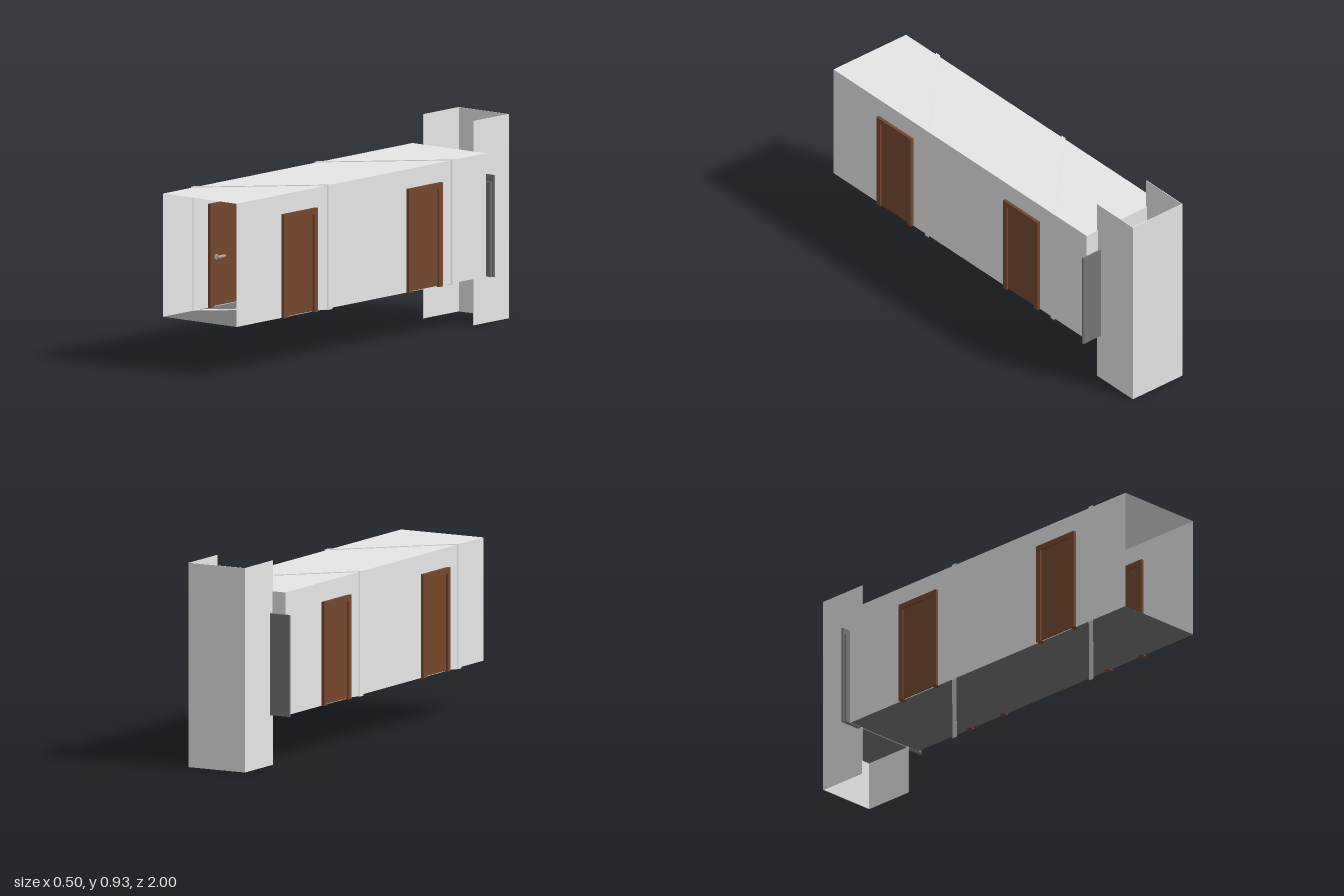
import * as THREE from 'three';
import { mergeGeometries } from 'three/addons/utils/BufferGeometryUtils.js';

const mat = (name, color, side = THREE.FrontSide) => {
  const m = new THREE.MeshStandardMaterial({ color, side });
  m.name = name;
  return m;
};

export function createModel() {
  const root = new THREE.Group();
  root.name = 'corridorWithLift';
  const light = mat('lightGrey', 0xe6e6e6, THREE.DoubleSide);
  const dark = mat('darkGrey', 0x757575, THREE.DoubleSide);
  const brown = mat('brownWood', 0x75472d);
  const metal = mat('handleMetal', 0xa8a8a8);

  const add = (name, geo, m, parent = root) => {
    const mesh = new THREE.Mesh(geo, m);
    mesh.name = name;
    parent.add(mesh);
    return mesh;
  };
  // box given by its extents along each axis
  const box = (name, m, x0, x1, y0, y1, z0, z1, parent = root) =>
    add(name, new THREE.BoxGeometry(x1 - x0, y1 - y0, z1 - z0)
      .translate((x0 + x1) / 2, (y0 + y1) / 2, (z0 + z1) / 2), m, parent);

  const W = 0.215, Y0 = 0.23, Y1 = 0.793, END = -0.755;
  const LEN = 1 - END, MID = (1 + END) / 2, H = Y1 - Y0, YM = (Y0 + Y1) / 2;

  // corridor shell, open at the front
  const wall = s => new THREE.PlaneGeometry(LEN, H).rotateY(s * Math.PI / 2).translate(s * W, YM, MID);
  const roof = new THREE.PlaneGeometry(2 * W, LEN).rotateX(-Math.PI / 2).translate(0, Y1, MID);
  add('wallsAndCeiling', mergeGeometries([wall(-1), wall(1), roof]), light);
  add('floor', new THREE.PlaneGeometry(2 * W, LEN).rotateX(Math.PI / 2).translate(0, Y0, MID), dark);

  const points = list => list.map(([x, y]) => new THREE.Vector2(x, y));
  const rect = (w, y0, y1) => points([[-w, y0], [w, y0], [w, y1], [-w, y1]]);

  // ribs running around the corridor, sheared so they cross it diagonally
  for (const z of [0.5645, -0.3075]) {
    const shape = new THREE.Shape(rect(0.22, 0.2245, 0.797));
    shape.holes.push(new THREE.Path(rect(0.2115, 0.233, 0.7895)));
    const geo = new THREE.ExtrudeGeometry(shape, { depth: 0.028, bevelEnabled: false }).translate(0, 0, -0.014);
    const pos = geo.attributes.position;
    for (let i = 0; i < pos.count; i++) pos.setZ(i, pos.getZ(i) - pos.getX(i));
    geo.computeVertexNormals();
    add('diagonalRib', geo, light).position.z = z;
  }

  // wooden side doors with an inner lever handle
  for (const s of [-1, 1]) {
    for (const z of [0.565, -0.315]) {
      const door = new THREE.Group();
      door.name = 'sideDoor';
      door.position.z = z;
      root.add(door);
      const a = s < 0 ? -0.23 : 0.2, b = a + 0.03;
      for (const e of [-1, 1]) {
        const c = e * 0.107;
        box('doorJamb', brown, a, b, 0.229, 0.704, c - 0.0125, c + 0.0125, door);
      }
      box('doorHead', brown, a, b, 0.679, 0.704, -0.0945, 0.0945, door);
      box('doorLeaf', brown, s * W - 0.006, s * W + 0.006, 0.234, 0.679, -0.0945, 0.0945, door);
      const handle = new THREE.Group();
      handle.name = 'doorHandle';
      handle.position.set(s * 0.207, 0.457, 0.07);
      door.add(handle);
      const rose = add('handleRose', new THREE.CylinderGeometry(0.012, 0.012, 0.005, 16), metal, handle);
      rose.rotation.z = Math.PI / 2;
      const neck = add('handleNeck', new THREE.CylinderGeometry(0.005, 0.005, 0.014, 12), metal, handle);
      neck.rotation.z = Math.PI / 2;
      neck.position.x = -s * 0.007;
      const lever = add('handleLever', new THREE.CapsuleGeometry(0.007, 0.042, 4, 12), metal, handle);
      lever.rotation.x = Math.PI / 2;
      lever.position.set(-s * 0.0135, 0, -0.02);
    }
  }

  // upside-down U: half width, top, inner half width, inner top
  const arch = (w, top, iw, itop, depth, z) => {
    const s = new THREE.Shape(points(
      [[-w, Y0], [-iw, Y0], [-iw, itop], [iw, itop], [iw, Y0], [w, Y0], [w, top], [-w, top]]));
    return new THREE.ExtrudeGeometry(s, { depth, bevelEnabled: false }).translate(0, 0, z);
  };
  add('endWall', arch(W, Y1, 0.134, 0.665, 0.004, END - 0.002), light);
  add('liftCasing', arch(0.157, 0.686, 0.133, 0.664, 0.008, END), dark);
  add('liftRearFrame', arch(0.25, 0.695, 0.133, 0.664, 0.008, -0.777), dark);
  for (const s of [-1, 1]) {
    const x = s * 0.175;
    box('liftDoor', dark, x - 0.065, x + 0.065, Y0, 0.664, -0.768, -0.758);
  }
  box('floorDisplay', light, -0.049, 0.045, 0.711, 0.746, END, END + 0.006);
  box('callPanel', light, 0.165, 0.196, 0.445, 0.504, END, END + 0.006);

  // lift shaft, open at the front, top and bottom
  const S = 0.147, TOP = 0.933;
  box('shaftBackWall', light, -S, S, 0, TOP, -1, -0.997);
  for (const s of [-1, 1]) {
    const x = s * (S - 0.0015);
    box('shaftSideWall', light, x - 0.0015, x + 0.0015, 0, TOP, -0.997, -0.75);
  }

  // lift cabin inside the shaft
  box('cabinFloor', dark, -0.144, 0.144, 0.226, 0.232, -0.997, -0.757);
  box('cabinCeiling', dark, -0.144, 0.144, 0.686, 0.692, -0.997, -0.776);
  for (const x of [-0.067, 0.062]) {
    for (const z of [-0.932, -0.822]) {
      box('ceilingLamp', light, x - 0.027, x + 0.027, 0.684, 0.695, z - 0.024, z + 0.024);
    }
  }
  box('rearHandrail', dark, -0.144, 0.144, 0.395, 0.425, -0.997, -0.988);
  for (const s of [-1, 1]) {
    const x = s * 0.1395;
    box('sideHandrail', dark, x - 0.0045, x + 0.0045, 0.395, 0.425, -0.988, -0.8);
  }
  return root;
}
